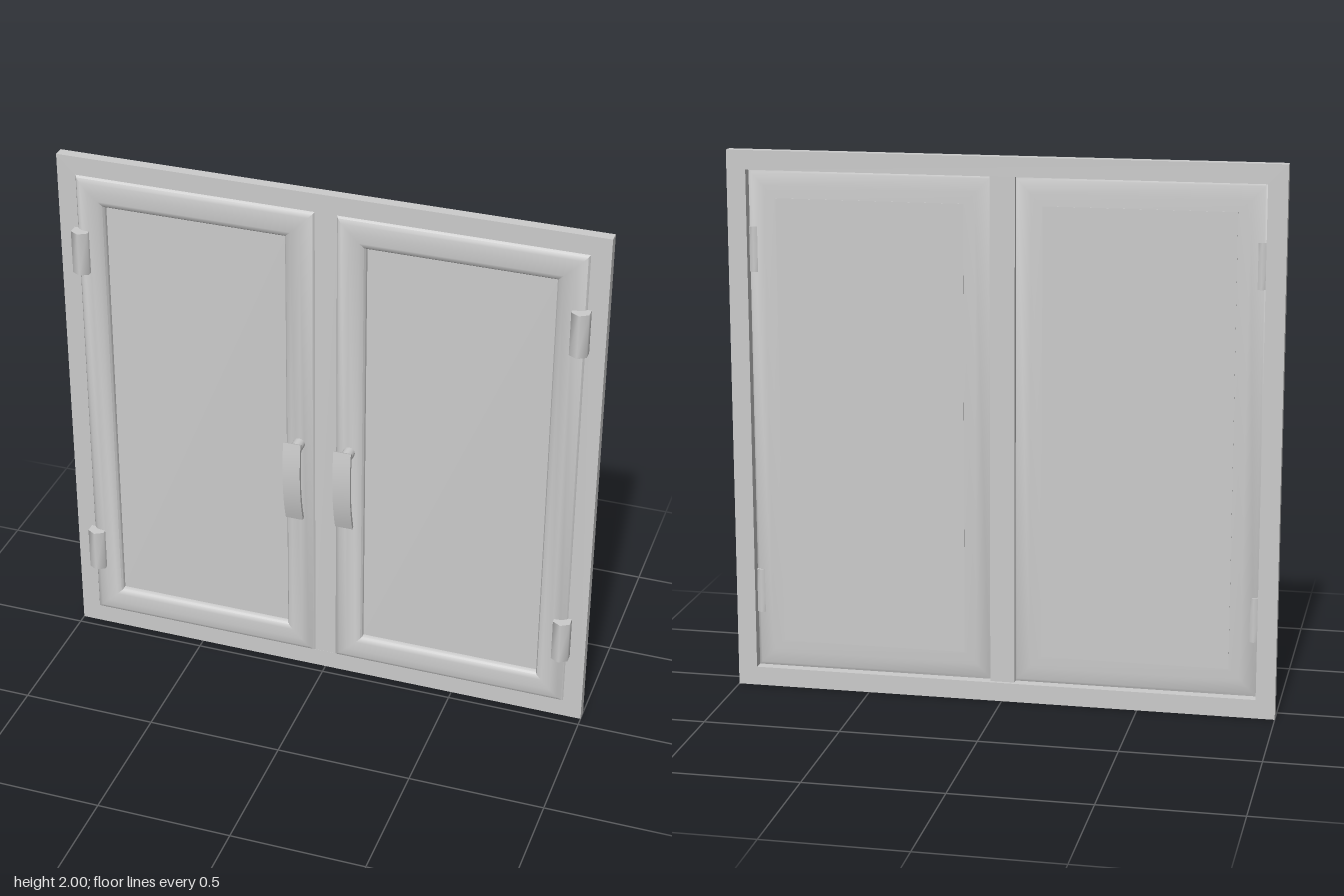
import * as THREE from 'three';
import { toCreasedNormals } from 'three/addons/utils/BufferGeometryUtils.js';

const material = new THREE.MeshStandardMaterial({ color: 0xcccccc, side: THREE.DoubleSide });

// Mitred rectangular moulding: section is a closed list of [inset, z]
function moulding(x0, x1, y0, y1, section, crease) {
  const pos = [];
  const corner = (i, k) => {
    const [d, z] = section[i % section.length];
    const c = k % 4;
    return [c === 1 || c === 2 ? x1 - d : x0 + d, c >= 2 ? y1 - d : y0 + d, z];
  };
  for (let i = 0; i < section.length; i++) {
    for (let k = 0; k < 4; k++) {
      const a = corner(i, k), b = corner(i, k + 1), c = corner(i + 1, k + 1), d = corner(i + 1, k);
      pos.push(...a, ...b, ...c, ...a, ...c, ...d);
    }
  }
  const geo = new THREE.BufferGeometry();
  geo.setAttribute('position', new THREE.Float32BufferAttribute(pos, 3));
  return toCreasedNormals(geo, crease);
}

export function createModel() {
  const model = new THREE.Group();
  model.name = 'doubleWindow';
  const add = (name, geo, x = 0, y = 0, z = 0, parent = model) => {
    const mesh = new THREE.Mesh(geo, material);
    mesh.name = name;
    mesh.position.set(x, y, z);
    parent.add(mesh);
    return mesh;
  };

  // Fixed outer frame and centre post
  add('outerFrame', moulding(-1, 1, 0, 2,
    [[0, -0.035], [0.07, -0.035], [0.07, -0.075], [0, -0.075]], 0.5));
  add('centrePost', new THREE.BoxGeometry(0.09, 1.86, 0.025), 0, 1, -0.048);

  // Sash moulding with softly rounded front edges
  const sashSection = [
    [0, -0.036], [0.006, -0.027], [0.02, -0.019], [0.05, -0.016], [0.085, -0.018],
    [0.102, -0.023], [0.107, -0.03], [0.107, -0.052], [0.06, -0.05], [0.012, -0.044],
  ];

  // Curved grip outline, drawn in (z, y)
  const grip = new THREE.Shape();
  grip.moveTo(0.062, 1.04);
  grip.quadraticCurveTo(0.09, 0.86, 0.04, 0.705);
  grip.lineTo(0.028, 0.712);
  grip.quadraticCurveTo(0.077, 0.86, 0.05, 1.035);
  const gripGeo = new THREE.ExtrudeGeometry(grip, { depth: 0.066, bevelEnabled: false, curveSegments: 10 });
  gripGeo.translate(0, 0, -0.033).rotateY(-Math.PI / 2);
  const gripSmooth = toCreasedNormals(gripGeo, 0.5);
  const stemGeo = new THREE.CylinderGeometry(0.022, 0.022, 0.08, 16).rotateX(Math.PI / 2);
  const hingeGeo = toCreasedNormals(new THREE.CylinderGeometry(0.036, 0.036, 0.165, 6), 1.2);

  for (const [side, s] of [['left', 1], ['right', -1]]) {
    const sash = new THREE.Group();
    sash.name = side + 'Sash';
    model.add(sash);
    const x0 = s > 0 ? 0.04 : -0.93;
    add(side + 'SashFrame', moulding(x0, x0 + 0.89, 0.07, 1.93, sashSection, 0.9), 0, 0, 0, sash);
    add(side + 'Pane', new THREE.BoxGeometry(0.685, 1.655, 0.006), s * 0.485, 1, -0.05, sash);

    // Handle: stem plus bowed grip
    const handle = new THREE.Group();
    handle.name = side + 'Handle';
    handle.position.x = s * 0.095;
    sash.add(handle);
    add(side + 'HandleStem', stemGeo, 0, 0.995, 0.018, handle);
    add(side + 'HandleGrip', gripSmooth, 0, 0, 0, handle);

    // Hinges
    for (const y of [0.36, 1.64]) add(side + 'Hinge', hingeGeo, s * 0.913, y, -0.018, sash);
  }
  return model;
}
